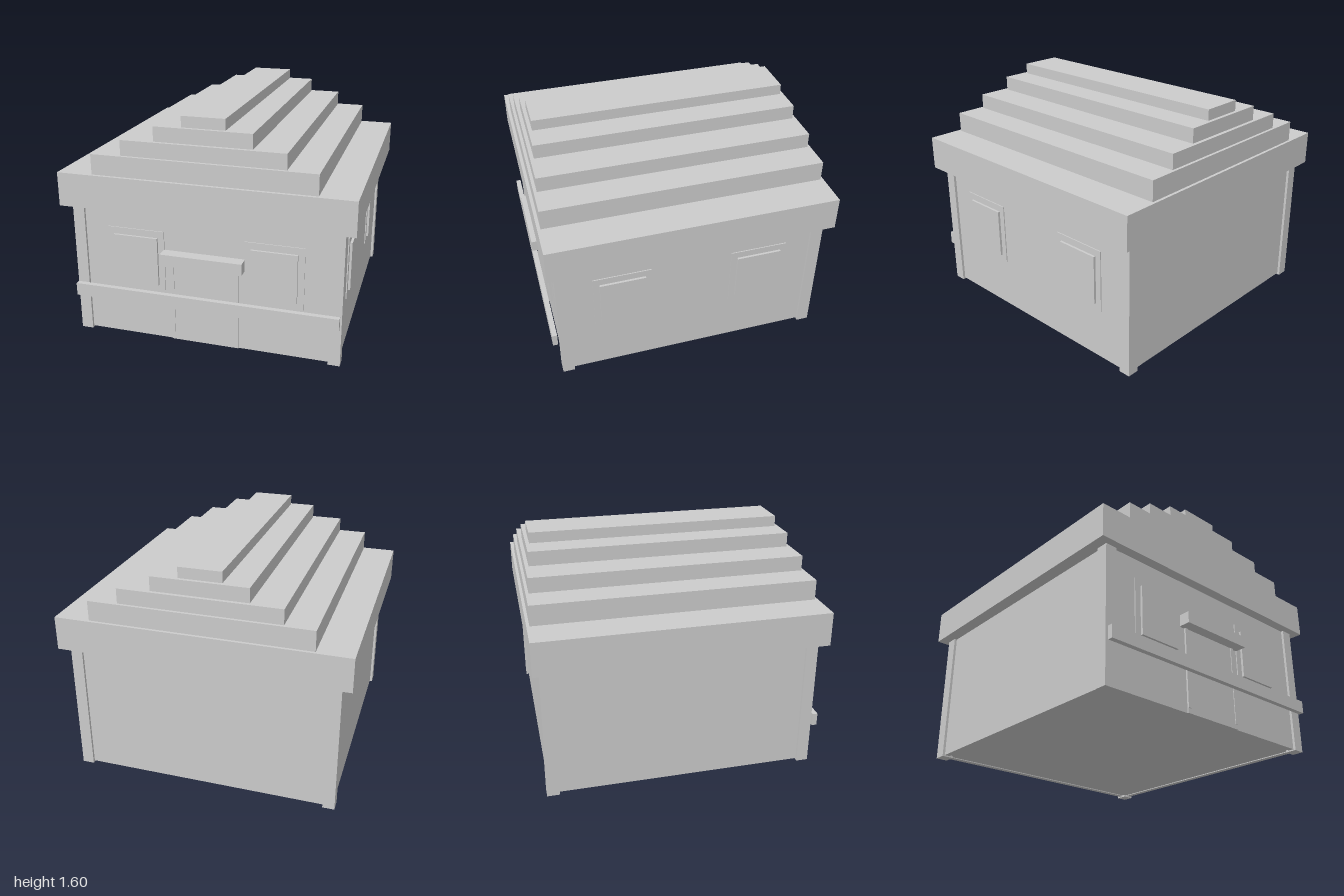
import * as THREE from 'three';

export function createModel() {
  const house = new THREE.Group();
  house.name = 'house';
  const material = new THREE.MeshStandardMaterial({ color: 0xcccccc, flatShading: true });

  // Box given by its extents along each axis
  function block(name, [x0, x1], [y0, y1], [z0, z1]) {
    const mesh = new THREE.Mesh(new THREE.BoxGeometry(x1 - x0, y1 - y0, z1 - z0), material);
    mesh.position.set((x0 + x1) / 2, (y0 + y1) / 2, (z0 + z1) / 2);
    mesh.name = name;
    house.add(mesh);
    return mesh;
  }

  // Walls and floor
  const wallX = 0.912, wallFront = 0.907, wallBack = -0.927, t = 0.04;
  const wallY = [0.01, 0.95];
  block('frontWall', [-wallX, wallX], wallY, [wallFront - t, wallFront]);
  block('backWall', [-wallX, wallX], wallY, [wallBack, wallBack + t]);
  block('leftWall', [wallX - t, wallX], wallY, [wallBack + t, wallFront - t]);
  block('rightWall', [-wallX, t - wallX], wallY, [wallBack + t, wallFront - t]);
  block('floor', [t - wallX, wallX - t], [0.016, 0.05], [wallBack + t, wallFront - t]);

  // Corner posts
  for (const x of [[-0.93, -0.848], [0.848, 0.93]]) {
    for (const z of [[-0.945, -0.86], [0.843, 0.925]]) block('cornerPost', x, [0, 0.94], z);
  }

  // Stepped roof: half width, bottom, top, back, front
  const steps = [
    [1, 0.94, 1.175, -0.99, 0.975],
    [0.757, 1.175, 1.315, -0.97, 0.953],
    [0.553, 1.315, 1.42, -0.95, 0.932],
    [0.33, 1.42, 1.52, -0.925, 0.907],
    [0.147, 1.52, 1.595, -0.9, 0.882],
  ];
  for (const [w, y0, y1, z0, z1] of steps) block('roofStep', [-w, w], [y0, y1], [z0, z1]);

  // Windows: a thin surround with a thicker pane
  const paneY = [0.412, 0.755], surroundY = [0.365, 0.803];
  for (const c of [-0.48, 0.477]) {
    block('frontWindowSurround', [c - 0.2, c + 0.2], surroundY, [0.9, 0.914]);
    block('frontWindowPane', [c - 0.156, c + 0.156], paneY, [0.9, 0.93]);
  }
  for (const c of [-0.487, 0.475]) {
    block('sideWindowSurround', [0.9, 0.919], surroundY, [c - 0.2, c + 0.2]);
    block('sideWindowPane', [0.9, 0.935], paneY, [c - 0.157, c + 0.157]);
  }

  // Door with frame and canopy
  block('doorPanel', [-0.215, 0.21], [0.01, 0.6], [0.9, 0.915]);
  for (const x of [[-0.24, -0.215], [0.21, 0.235]]) {
    block('doorJamb', x, [0.045, 0.6], [0.9, 0.92]);
    block('doorJambFoot', x, [0.01, 0.045], [0.9, 0.915]);
  }
  block('doorCanopy', [-0.283, 0.28], [0.595, 0.675], [0.9, 0.99]);

  // Rail across the front
  block('frontRail', [-0.923, 0.92], [0.28, 0.37], [0.94, 0.975]);

  return house;
}
